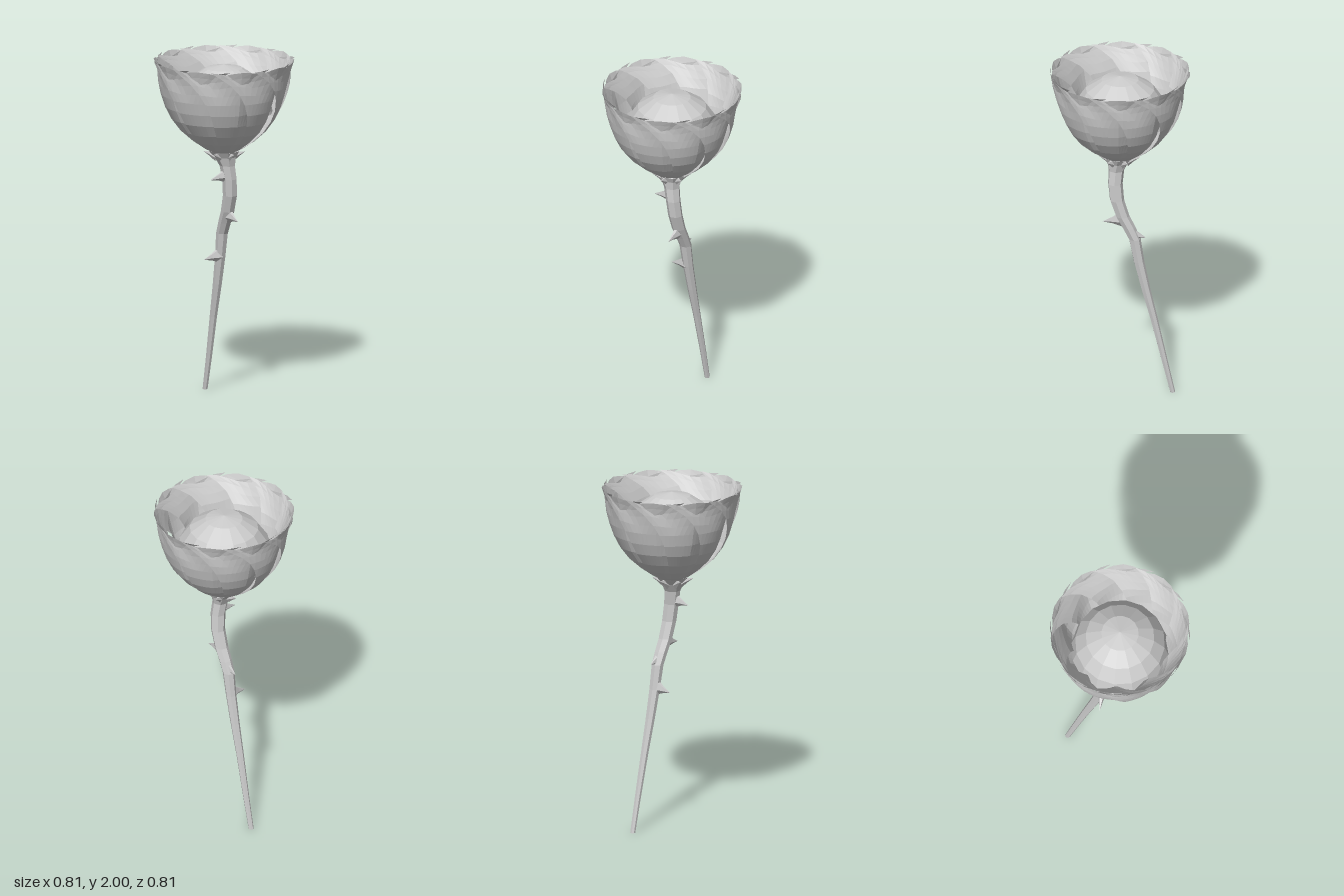
import * as THREE from 'three';

const mat = new THREE.MeshStandardMaterial({ color: 0xcccccc, flatShading: true, side: THREE.DoubleSide });
const deg = Math.PI / 180;

function mesh(geometry, name) {
  const m = new THREE.Mesh(geometry, mat);
  m.name = name;
  return m;
}

// Surface from a grid of points: point(i, j) for i in 0..rows, j in 0..cols
function grid(rows, cols, point) {
  const pos = [], idx = [], w = cols + 1;
  for (let i = 0; i <= rows; i++) {
    for (let j = 0; j <= cols; j++) pos.push(...point(i, j));
  }
  for (let i = 0; i < rows; i++) {
    for (let j = 0; j < cols; j++) {
      const a = i * w + j;
      idx.push(a, a + 1, a + w + 1, a, a + w + 1, a + w);
    }
  }
  const g = new THREE.BufferGeometry();
  g.setAttribute('position', new THREE.Float32BufferAttribute(pos, 3));
  g.setIndex(idx);
  g.computeVertexNormals();
  return g;
}

// Petal rows: height, radius, half-width in degrees, inward tuck of the hidden edge
const PETAL = [
  [1.445, 0.04, 24, 0.0], [1.48, 0.11, 24, 0.01], [1.53, 0.18, 24, 0.02], [1.59, 0.245, 25, 0.035],
  [1.66, 0.295, 26, 0.05], [1.73, 0.327, 28, 0.065], [1.80, 0.348, 32, 0.075], [1.86, 0.36, 37, 0.07],
  [1.92, 0.372, 45, 0.045], [1.965, 0.382, 54, 0.025], [2.0, 0.392, 62, 0.012],
];

function petalGeometry() {
  const cols = 14;
  return grid(PETAL.length - 1, cols, (i, j) => {
    const [y, r, half, tuck] = PETAL[i];
    const u = (j / cols) * 2 - 1;
    const top = Math.max(0, (y - 1.8) / 0.2);
    const a = u * half * deg;
    // right edge tucks under the next petal, left edge lifts away
    const rad = r - tuck * (u > 0 ? u : 0.2 * u) + 0.012 * top * Math.cos(u * Math.PI * 2);
    const h = y - 0.035 * top * Math.sin(u * Math.PI) ** 2;
    return [rad * Math.sin(a), h, rad * Math.cos(a)];
  });
}

// Stem rings: x, y, z, radius
const STEM = [
  [0.045, 0.005, -0.308, 0.015], [0.045, 0.2, -0.262, 0.018], [0.042, 0.45, -0.203, 0.022],
  [0.04, 0.65, -0.152, 0.027], [0.038, 0.82, -0.113, 0.031], [0.036, 0.96, -0.088, 0.035],
  [0.035, 1.03, -0.055, 0.038], [0.034, 1.1, -0.018, 0.04], [0.032, 1.2, 0.015, 0.042],
  [0.024, 1.3, 0.025, 0.043], [0.012, 1.38, 0.02, 0.046], [0.004, 1.43, 0.01, 0.065], [0, 1.465, 0.005, 0.09],
];

function stemGeometry() {
  const sides = 7;
  return grid(STEM.length - 1, sides, (i, j) => {
    const [x, y, z, r] = STEM[i];
    const a = (-j / sides) * Math.PI * 2;
    return [x + r * Math.cos(a), y, z + r * Math.sin(a)];
  });
}

// Thorn: a cone laid along +z with its tip pulled down
function thornGeometry(length, width, droop) {
  const g = new THREE.ConeGeometry(width, length, 5, 2, true);
  g.rotateX(Math.PI / 2).translate(0, 0, length / 2);
  const p = g.attributes.position;
  for (let i = 0; i < p.count; i++) {
    const t = p.getZ(i) / length;
    const narrow = 1 - 0.7 * t * (1 - t);
    p.setXYZ(i, p.getX(i) * 0.7 * narrow, p.getY(i) * 1.25 * narrow - droop * t, p.getZ(i));
  }
  g.computeVertexNormals();
  return g;
}

export function createModel() {
  const rose = new THREE.Group();
  rose.name = 'rose';

  // Overlapping ring of petals
  const petals = new THREE.Group();
  petals.name = 'petals';
  const petal = petalGeometry();
  for (let k = 0; k < 10; k++) {
    const m = mesh(petal, 'petal');
    m.rotation.y = (22.5 + 36 * k) * deg;
    petals.add(m);
  }
  rose.add(petals);

  // Domed heart of the flower
  const heart = mesh(new THREE.SphereGeometry(0.28, 16, 4, 0, Math.PI * 2, 0, Math.PI / 2), 'heart');
  heart.position.y = 1.69;
  rose.add(heart);

  // Stem with end cap
  rose.add(mesh(stemGeometry(), 'stem'));
  const cap = mesh(new THREE.CircleGeometry(0.015, 7).rotateX(Math.PI / 2), 'stemEnd');
  cap.position.set(0.045, 0.005, -0.308);
  rose.add(cap);

  // Small pointed sepals under the flower
  for (let k = 0; k < 6; k++) {
    const s = mesh(thornGeometry(0.07, 0.028, -0.025), 'sepal');
    const a = k * 60 * deg;
    s.position.set(0.05 * Math.sin(a), 1.435, 0.005 + 0.05 * Math.cos(a));
    s.rotation.y = a;
    rose.add(s);
  }

  // Thorns: base position, heading, length
  const thorns = [
    [0.015, 1.33, 0.025, -90, 0.118], [0.036, 1.085, -0.02, 0, 0.118],
    [0.036, 0.995, -0.065, 180, 0.088], [0.036, 0.835, -0.108, -90, 0.108],
  ];
  for (const [x, y, z, heading, length] of thorns) {
    const t = mesh(thornGeometry(length, 0.042, 0.025), 'thorn');
    t.position.set(x, y, z);
    t.rotation.y = heading * deg;
    rose.add(t);
  }
  return rose;
}
